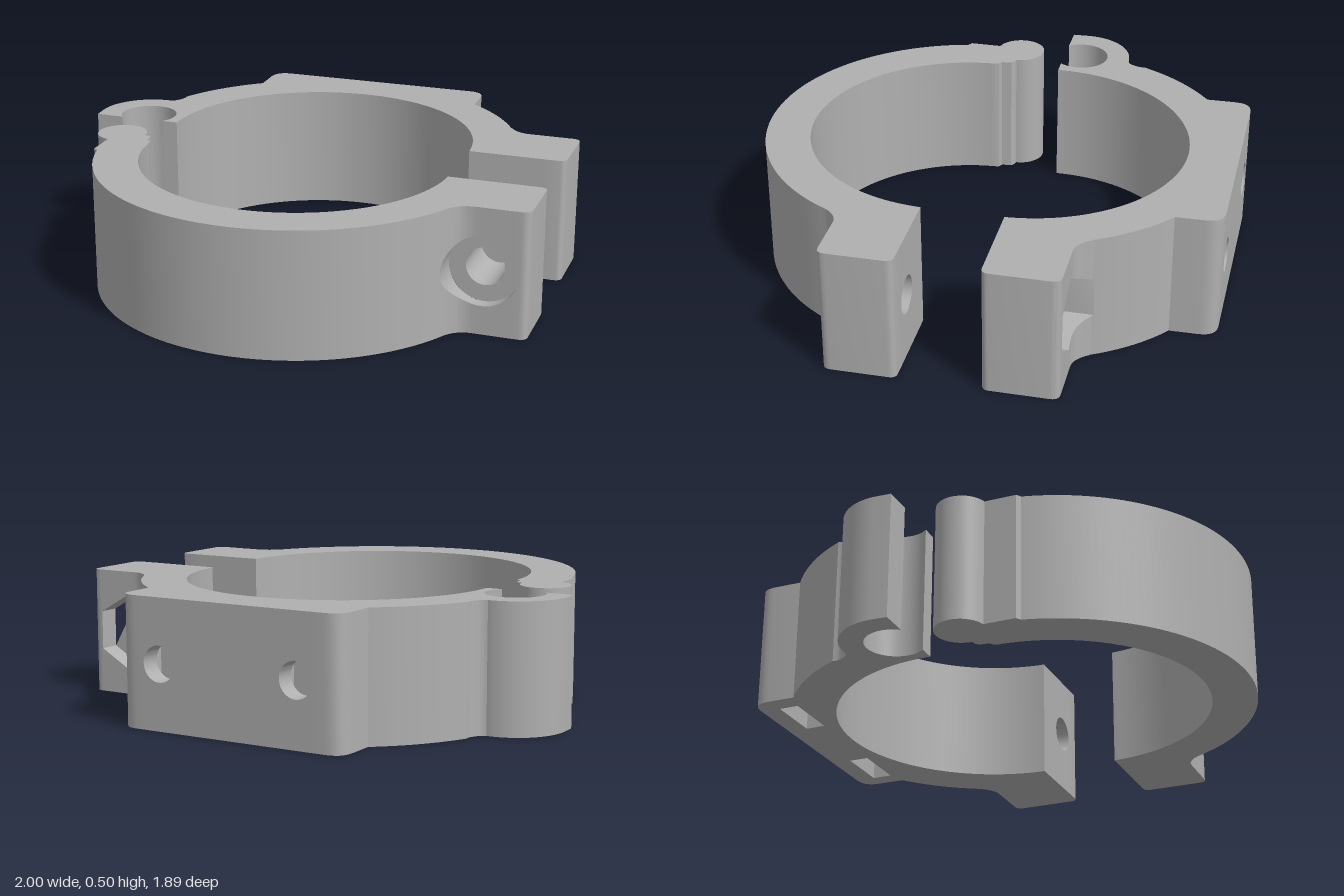
import * as THREE from 'three';
import { toCreasedNormals } from 'three/addons/utils/BufferGeometryUtils.js';

const H = 0.505, MID = 0.255, E = 1e-5;
const NUT_X = [-0.31, 0.29];

// ---- outline helpers, points are [x, z] ----
const arc = (cx, cz, r, a0, a1, n) => Array.from({ length: n + 1 }, (_, i) => {
  const a = a0 + (a1 - a0) * i / n;
  return [cx + r * Math.cos(a), cz + r * Math.sin(a)];
});
const bend = (a, c, b, n = 6) => Array.from({ length: n + 1 }, (_, i) => {
  const t = i / n, s = 1 - t;
  return [0, 1].map(k => s * s * a[k] + 2 * s * t * c[k] + t * t * b[k]);
});

// ---- hole cross-sections: column positions and half height at each column ----
const roundHole = (x, r, n = 24) => ({
  xs: Array.from({ length: n + 1 }, (_, k) => x - r * Math.cos(Math.PI * k / n)),
  half: u => Math.sqrt(Math.max(0, r * r - (u - x) ** 2)),
});
const hexHole = (x, r) => ({
  xs: [x - r * 0.866, x, x + r * 0.866],
  half: u => r - Math.abs(u - x) * 0.5 / 0.866,
});
const ring = h => [
  ...h.xs.map(x => [x, MID - h.half(x)]),
  ...h.xs.slice(1, -1).reverse().map(x => [x, MID + h.half(x)]),
];

// ---- triangle collector ----
function soup() {
  const pos = [];
  const tri = (a, b, c) => pos.push(...a, ...b, ...c);
  const quad = (a, b, c, d) => { tri(a, b, c); tri(a, c, d); };
  // flat polygon with holes, placed in space by map
  const flat = (outline, holes, map, flip) => {
    const v = l => l.map(p => new THREE.Vector2(p[0], p[1]));
    const o = v(outline), hs = holes.map(v);
    if (THREE.ShapeUtils.isClockWise(o)) o.reverse();
    hs.forEach(h => { if (!THREE.ShapeUtils.isClockWise(h)) h.reverse(); });
    const all = [...o, ...hs.flat()];
    for (const f of THREE.ShapeUtils.triangulateShape(o, hs)) {
      let [a, b, c] = f.map(i => all[i]);
      const area = (b.x - a.x) * (c.y - a.y) - (b.y - a.y) * (c.x - a.x);
      if ((area < 0) !== flip) [b, c] = [c, b];
      tri(...[a, b, c].map(p => map(p.x, p.y)));
    }
  };
  const geometry = () => {
    const g = new THREE.BufferGeometry();
    g.setAttribute('position', new THREE.Float32BufferAttribute(pos, 3));
    return toCreasedNormals(g, 0.5);
  };
  return { quad, flat, geometry };
}

// Upright extrusion of an outline, with holes drilled along z.
// Each hole: section, mouth z range, dir it faces, floor depth, optional bore through a solid floor.
function drilledPart(outline, holes, slots = []) {
  const s = soup();
  const inMouth = (h, p) => p[1] > h.mouth[0] && p[1] < h.mouth[1];

  // split outline edges at the hole columns
  const pts = [];
  outline.forEach((p, i) => {
    const q = outline[(i + 1) % outline.length], dx = q[0] - p[0], ts = [0];
    if (Math.abs(dx) < E && Math.abs(q[1] - p[1]) < E) return;
    for (const h of holes) if (inMouth(h, p) && inMouth(h, q) && -dx * h.dir > 0)
      for (const x of h.section.xs) {
        const t = (x - p[0]) / dx;
        if (t > E && t < 1 - E) ts.push(t);
      }
    ts.sort((a, b) => a - b).forEach(t => pts.push([p[0] + dx * t, p[1] + (q[1] - p[1]) * t]));
  });

  // top and bottom
  const slotRects = slots.map(r => [[r.x0, r.z0], [r.x1, r.z0], [r.x1, r.z1], [r.x0, r.z1]]);
  s.flat(pts, [], (x, z) => [x, H, z], true);
  s.flat(pts, slotRects, (x, z) => [x, 0, z], false);

  // side walls and the tunnels cut into them
  pts.forEach((p, i) => {
    const q = pts[(i + 1) % pts.length];
    const wall = (a0, a1, b0, b1) => s.quad([p[0], a0, p[1]], [p[0], a1, p[1]], [q[0], b1, q[1]], [q[0], b0, q[1]]);
    const h = holes.find(k => {
      const lo = k.section.xs[0] - E, hi = k.section.xs.at(-1) + E;
      return inMouth(k, p) && inMouth(k, q) && -(q[0] - p[0]) * k.dir > 0 &&
        [p, q].every(v => v[0] >= lo && v[0] <= hi);
    });
    if (!h) return wall(0, H, 0, H);
    const { xs, half } = h.section, hp = half(p[0]), hq = half(q[0]);
    wall(0, MID - hp, 0, MID - hq);
    wall(MID + hp, H, MID + hq, H);
    const P = (k, z = p[1]) => [p[0], MID + k * hp, z], Q = (k, z = q[1]) => [q[0], MID + k * hq, z];
    const f = h.floor;
    s.quad(Q(-1), P(-1), P(-1, f), Q(-1, f));
    s.quad(P(1), Q(1), Q(1, f), P(1, f));
    const isEnd = x => Math.min(Math.abs(x - xs[0]), Math.abs(x - xs.at(-1))) < 2 * E;
    if (hp > 0.01 && isEnd(p[0])) s.quad(P(-1), P(1), P(1, f), P(-1, f));
    if (hq > 0.01 && isEnd(q[0])) s.quad(Q(1), Q(-1), Q(-1, f), Q(1, f));
  });

  // recess floors
  for (const h of holes) if (h.bore)
    s.flat(ring(h.section), [ring(h.bore)], (x, y) => [x, y, h.floor], h.dir < 0);

  // nut slots rising from the underside
  for (const { x0, x1, z0, z1, top, bolt } of slots) {
    const rect = [[x0, 0], [x1, 0], [x1, top], [x0, top]];
    s.flat(rect, [ring(bolt)], (x, y) => [x, y, z0], false);
    s.flat(rect, [], (x, y) => [x, y, z1], true);
    s.quad([x0, 0, z0], [x0, top, z0], [x0, top, z1], [x0, 0, z1]);
    s.quad([x1, 0, z0], [x1, 0, z1], [x1, top, z1], [x1, top, z0]);
    s.quad([x0, top, z0], [x1, top, z0], [x1, top, z1], [x0, top, z1]);
  }
  return s.geometry();
}

export function createModel() {
  const group = new THREE.Group();
  const grey = new THREE.MeshStandardMaterial({ color: 0xb0b0b0 });
  grey.name = 'grey plastic';
  const PI = Math.PI, CX = -0.012, BORE_X = 0.825;
  const bore = roundHole(BORE_X, 0.075);

  // front half: lug, outer arc, hinge pin, inner arc
  const frontOutline = [
    [0.61, 0.165],
    ...bend([0.97, 0.165], [1, 0.165], [1, 0.195]),
    ...bend([1, 0.415], [1, 0.45], [0.967, 0.45]),
    ...bend([0.79, 0.45], [0.735, 0.45], [0.70, 0.505], 8),
    ...arc(CX, 0.14, 0.80, 0.485, PI - 0.23, 72),
    [-0.81, 0.31],
    ...arc(-0.79, 0.085, 0.1, 1.77, 2 * PI, 30),
    [-0.67, 0.09], [-0.658, 0.10], [-0.655, 0.14], [-0.637, 0.15],
    ...arc(CX, 0.14, 0.622, PI - 0.03, 0.045, 80),
  ];
  const frontHalf = new THREE.Mesh(drilledPart(frontOutline, [
    { section: roundHole(BORE_X, 0.14), mouth: [0.405, 0.7], dir: 1, floor: 0.40, bore },
    { section: bore, mouth: [0.1, 0.2], dir: -1, floor: 0.40 },
  ]), grey);
  frontHalf.name = 'frontClampHalf';

  // back half: hinge socket, outer arc, mounting pad, lug, inner arc
  const backOutline = [
    [-0.995, -0.11],
    ...arc(-0.79, -0.18, 0.208, PI, 1.5 * PI, 20),
    ...bend([-0.78, -0.387], [-0.752, -0.395], [-0.737, -0.446]),
    ...arc(CX, -0.13, 0.80, PI + 0.43, PI + 0.917, 20),
    ...bend([-0.5, -0.88], [-0.5, -0.95], [-0.43, -0.95]),
    ...bend([0.40, -0.95], [0.47, -0.95], [0.47, -0.88]),
    ...arc(CX, -0.13, 0.80, 2 * PI - 0.922, 2 * PI - 0.485, 18),
    ...bend([0.70, -0.50], [0.735, -0.445], [0.79, -0.445], 8),
    ...bend([0.967, -0.445], [1, -0.445], [1, -0.41]),
    ...bend([1, -0.185], [1, -0.155], [0.97, -0.155]),
    ...arc(CX, -0.13, 0.622, 2 * PI - 0.04, PI, 80),
    [-0.634, -0.11],
    ...arc(-0.79, -0.18, 0.115, 0.66, -PI - 0.66, 40),
  ];
  const bolts = NUT_X.map(x => roundHole(x, 0.07));
  const backHalf = new THREE.Mesh(drilledPart(backOutline, [
    { section: hexHole(BORE_X, 0.155), mouth: [-0.7, -0.365], dir: -1, floor: -0.36, bore },
    { section: bore, mouth: [-0.2, -0.1], dir: 1, floor: -0.36 },
    ...bolts.map(section => ({ section, mouth: [-1, -0.9], dir: -1, floor: -0.87 })),
  ], NUT_X.map((x, i) => ({
    x0: x - 0.11, x1: x + 0.11, z0: -0.87, z1: -0.79, top: 0.36, bolt: bolts[i],
  }))), grey);
  backHalf.name = 'backClampHalf';

  group.add(frontHalf, backHalf);
  return group;
}
